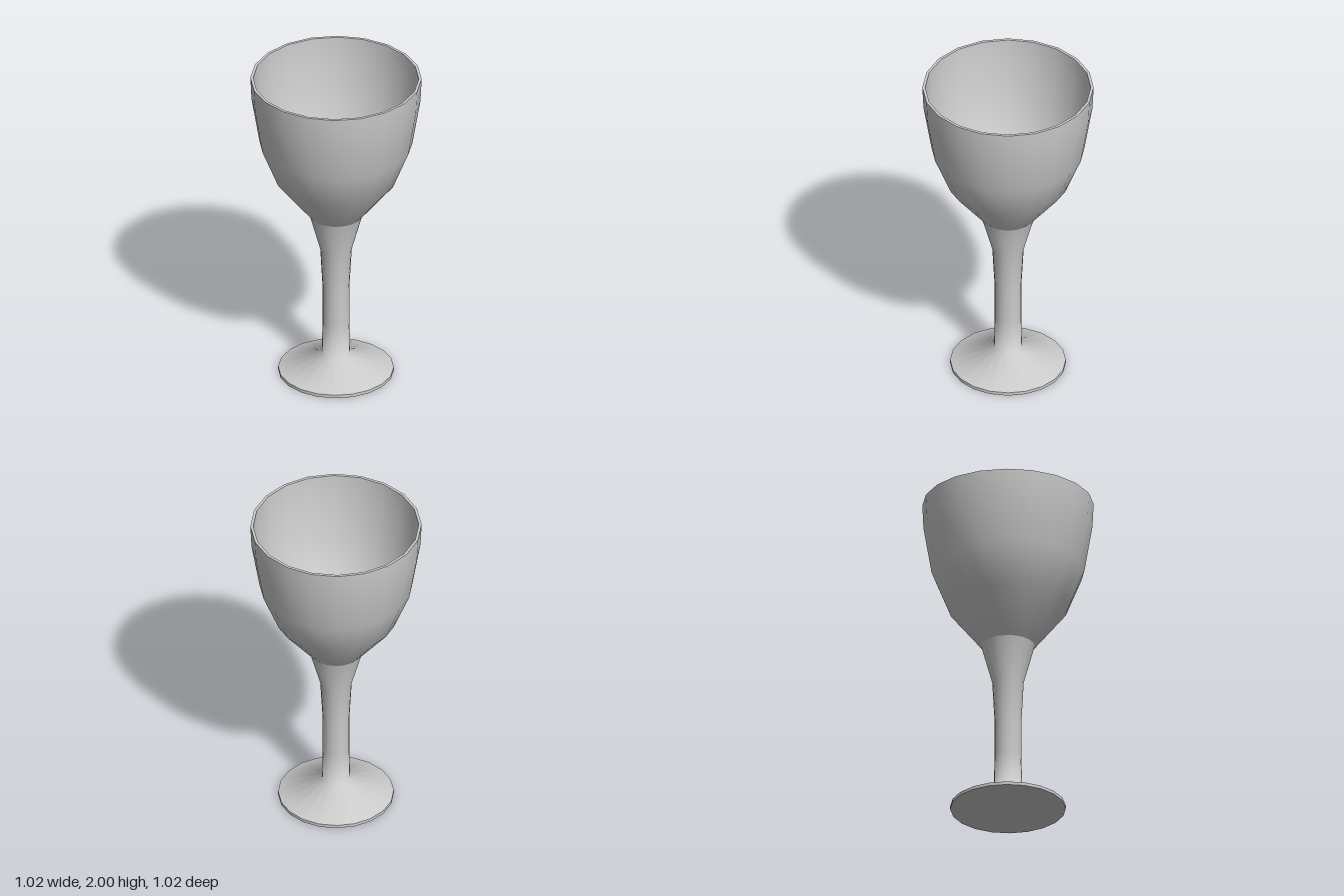
import * as THREE from 'three';

const SIDES = 20;

export function createModel() {
  const goblet = new THREE.Group();
  goblet.name = 'goblet';
  const material = new THREE.MeshStandardMaterial({ color: 0xcccccc });

  // Each part is its own lathe, so shading is smooth within it and creased where parts meet.
  // Profiles run so that the surface faces to the right of the direction of travel.
  function turn(name, profile) {
    const points = profile.map(([r, y]) => new THREE.Vector2(r, y));
    const mesh = new THREE.Mesh(new THREE.LatheGeometry(points, SIDES), material);
    mesh.name = name;
    goblet.add(mesh);
  }

  // Foot
  turn('footUnderside', [[0, 0], [0.345, 0]]);
  turn('footEdge', [[0.345, 0], [0.345, 0.02]]);

  // Sloping foot top flowing into the flared stem
  turn('stem', [
    [0.345, 0.02], [0.085, 0.12], [0.08, 0.35], [0.08, 0.57], [0.094, 0.83], [0.16, 1.07],
  ]);

  // Bowl
  turn('bowlOutside', [
    [0.16, 1.07], [0.36, 1.32], [0.456, 1.56], [0.504, 1.85], [0.511, 2],
  ]);
  turn('bowlRim', [[0.511, 2], [0.494, 2]]);
  turn('bowlInside', [
    [0.494, 2], [0.488, 1.85], [0.441, 1.565], [0.347, 1.33], [0.158, 1.09],
  ]);
  turn('bowlFloor', [[0.158, 1.09], [0, 1.09]]);

  return goblet;
}
